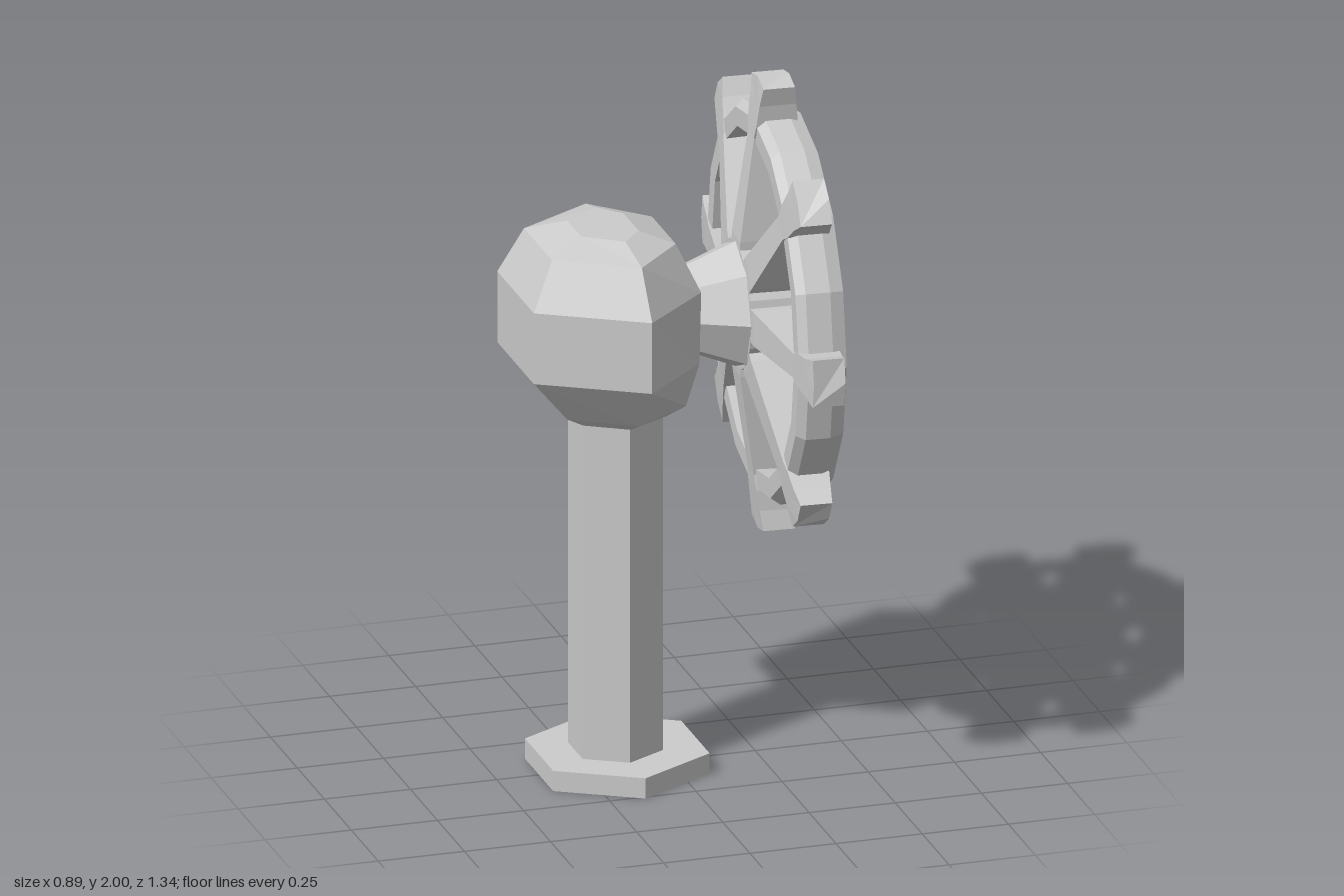
import * as THREE from 'three';

const material = new THREE.MeshStandardMaterial({ color: 0xcccccc, flatShading: true, side: THREE.DoubleSide });

function part(name, geometry, x = 0, y = 0, z = 0) {
  const mesh = new THREE.Mesh(geometry, material);
  mesh.name = name;
  mesh.position.set(x, y, z);
  return mesh;
}

// Skins a list of equal-sized rings of [x, y, z] and closes both ends.
function loft(rings) {
  const n = rings[0].length, index = [];
  for (let j = 0; j < rings.length - 1; j++) {
    for (let i = 0; i < n; i++) {
      const k = (i + 1) % n, a = j * n + i, b = j * n + k;
      index.push(a, b, a + n, b, b + n, a + n);
    }
  }
  const last = (rings.length - 1) * n;
  for (let i = 1; i < n - 1; i++) {
    index.push(0, i + 1, i, last, last + i, last + i + 1);
  }
  const geometry = new THREE.BufferGeometry();
  geometry.setAttribute('position', new THREE.Float32BufferAttribute(rings.flat(2), 3));
  geometry.setIndex(index);
  return geometry;
}

// Turned part whose axis runs along x; profile points are [radius, x].
function turned(profile, sides) {
  const points = profile.map(([r, x]) => new THREE.Vector2(r, x));
  return new THREE.LatheGeometry(points, sides).rotateZ(-Math.PI / 2);
}

// Lopsided hexagon: left and right edges, front and back corners.
function headRing([y, leftX, leftZ, midX, midZ, rightX, rightZ]) {
  return [
    [midX, y, midZ], [rightX, y, rightZ], [rightX, y, -rightZ],
    [midX, y, -midZ], [leftX, y, -leftZ], [leftX, y, leftZ],
  ];
}

// Spoke section at radius r, with a crowned middle.
function spokeRing([r, back, front, half, crown = 0]) {
  return [
    [back, r, half], [front, r, half], [front, r + crown, 0],
    [front, r, -half], [back, r, -half], [back, r + crown, 0],
  ];
}

export function createModel() {
  const model = new THREE.Group();
  model.name = 'wheelOnPost';

  // Hexagonal foot and post
  model.add(part('base', new THREE.CylinderGeometry(0.262, 0.262, 0.06, 6), -0.15, 0.03, 0));
  model.add(part('post', new THREE.CylinderGeometry(0.135, 0.135, 1.04, 6), -0.155, 0.57, 0));

  // Faceted head on the post
  model.add(part('head', loft([
    [1.05, -0.27, 0.07, -0.155, 0.14, -0.03, 0.07],
    [1.09, -0.33, 0.11, -0.155, 0.22, 0.015, 0.11],
    [1.23, -0.445, 0.17, -0.155, 0.34, 0.04, 0.155],
    [1.44, -0.445, 0.17, -0.155, 0.34, 0.045, 0.155],
    [1.575, -0.38, 0.13, -0.16, 0.26, -0.015, 0.11],
    [1.61, -0.275, 0.065, -0.17, 0.14, -0.11, 0.07],
  ].map(headRing))));

  // Wheel, turned slightly toward the front
  const wheel = new THREE.Group();
  wheel.name = 'wheel';
  wheel.position.set(0.305, 1.33, 0);
  wheel.rotation.y = -0.068;
  model.add(wheel);

  wheel.add(part('rim', turned([
    [0.49, -0.06], [0.545, -0.06], [0.565, -0.035], [0.565, 0.035],
    [0.55, 0.075], [0.495, 0.075], [0.49, -0.06],
  ], 16)));
  wheel.add(part('axle', turned([[0, -0.32], [0.1, -0.32], [0.185, -0.11], [0, -0.11]], 8)));
  wheel.add(part('hub', turned([[0, -0.11], [0.185, -0.11], [0.18, 0.09], [0.14, 0.1], [0, 0.1]], 16)));
  wheel.add(part('hubCap', turned([[0, 0.09], [0.14, 0.09], [0.14, 0.12], [0.128, 0.133], [0, 0.133]], 16)));

  // Eight tapering spokes ending in flared grips
  const spoke = loft([
    [0.08, -0.115, 0.11, 0.045],
    [0.2, -0.108, 0.1, 0.05],
    [0.5, -0.066, 0.06, 0.036],
    [0.54, -0.062, 0.056, 0.05],
    [0.6, -0.055, 0.05, 0.056],
    [0.655, -0.047, 0.043, 0.07, 0.015],
  ].map(spokeRing));
  for (let i = 0; i < 8; i++) {
    const mesh = part('spoke', spoke);
    mesh.rotation.x = i * Math.PI / 4;
    wheel.add(mesh);
  }

  return model;
}
